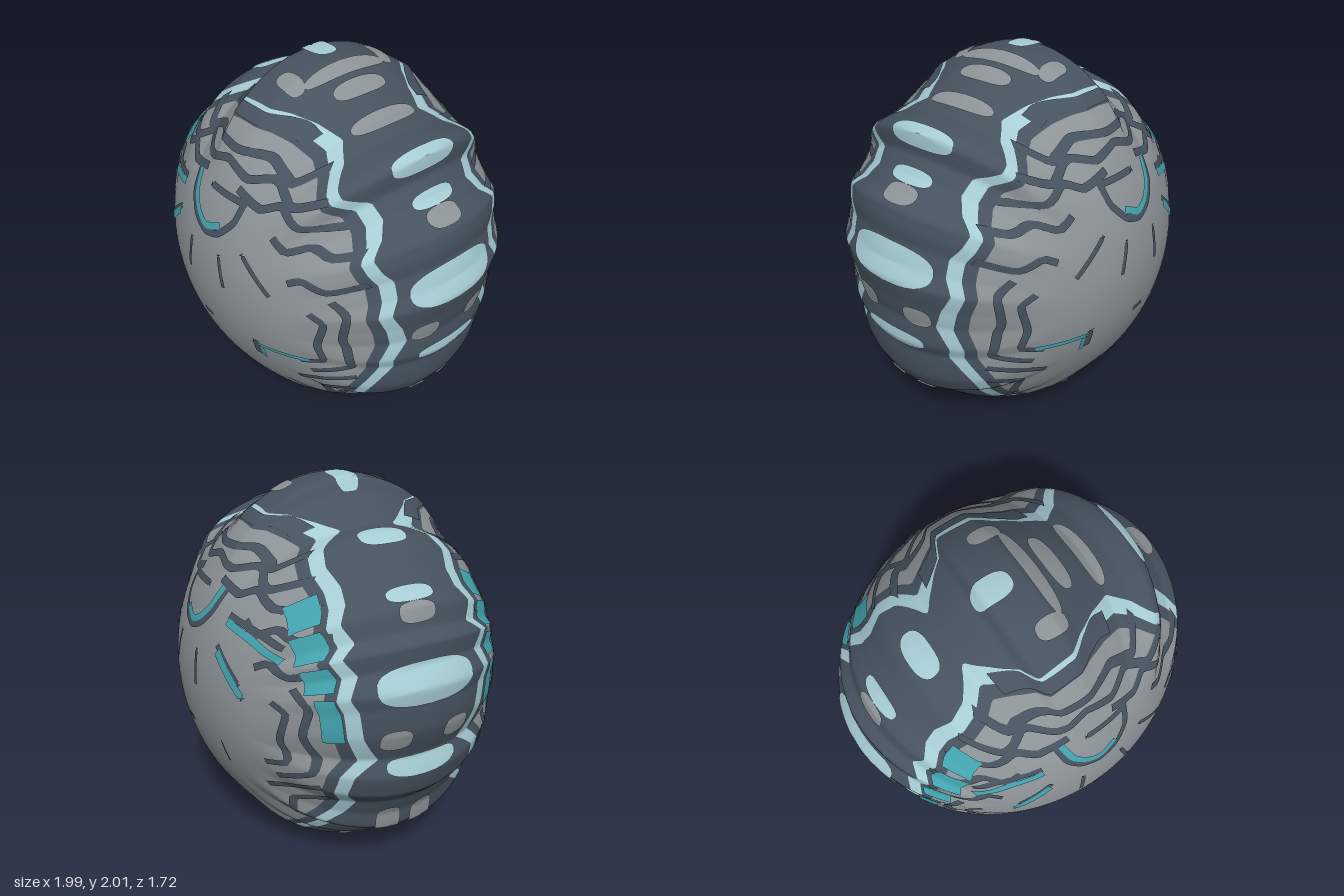
import * as THREE from 'three';
import { mergeVertices } from 'three/addons/utils/BufferGeometryUtils.js';

const CY = 0.96;      // height of the shell centre
const DEPTH = 0.86;   // half depth of the shell
const BASE = 0.985;   // mean radius of the shell
const { lerp, smoothstep, degToRad } = THREE.MathUtils;

const mat = (name, color) => new THREE.MeshStandardMaterial({ name, color, side: THREE.DoubleSide });
const grey = mat('stone grey', 0x8c9397);
const dark = mat('dark slate', 0x46525e);
const pale = mat('pale blue', 0xa6ccd4);
const teal = mat('teal', 0x42a3ae);

// Bumpy silhouette, counter-clockwise from the right
const OUTLINE = [
  [.97, 1], [.99, 1.12], [.95, 1.2], [.92, 1.3], [.92, 1.38], [.9, 1.46], [.82, 1.5], [.75, 1.56], [.69, 1.64],
  [.69, 1.75], [.65, 1.78], [.52, 1.79], [.4, 1.82], [.27, 1.89], [.15, 1.95], [.06, 2], [-.16, 2],
  [-.2, 1.93], [-.3, 1.86], [-.38, 1.8], [-.5, 1.79], [-.6, 1.74], [-.68, 1.65], [-.75, 1.58], [-.83, 1.52],
  [-.86, 1.42], [-.93, 1.38], [-.93, 1.28], [-.99, 1.18], [-.98, 1.1], [-.98, .95], [-.93, .8], [-.96, .7],
  [-.93, .58], [-.85, .5], [-.81, .4], [-.8, .3], [-.66, .25], [-.6, .14], [-.52, .11], [-.48, .05],
  [-.3, .04], [-.14, .04], [-.12, 0], [0, 0], [.12, 0], [.14, .03], [.2, .04], [.4, .04], [.52, .1],
  [.58, .16], [.66, .2], [.73, .27], [.8, .37], [.87, .4], [.92, .5], [.93, .68], [.96, .75], [.95, .88],
];
const TAU = Math.PI * 2;
const wrap = (a) => ((a % TAU) + TAU) % TAU;
const POLAR = OUTLINE.map(([x, y]) => [wrap(Math.atan2(y - CY, x)), Math.hypot(x, y - CY)])
  .sort((a, b) => a[0] - b[0]);

// Piecewise linear lookup in a sorted list of [key, value]
function lookup(list, k) {
  const i = list.findIndex((p) => p[0] >= k);
  if (i < 0) return list[list.length - 1][1];
  if (i === 0) return list[0][1];
  const [a, b] = [list[i - 1], list[i]];
  return lerp(a[1], b[1], (k - a[0]) / (b[0] - a[0] || 1));
}
const last = POLAR[POLAR.length - 1];
const RING = [[last[0] - TAU, last[1]], ...POLAR, [POLAR[0][0] + TAU, POLAR[0][1]]];
const rimRadius = (a) => Math.max(0.925, lookup(RING, wrap(a)));

// Flared neck at the foot: half depth and half width by height
const NECK_Z = [[0, .43], [.1, .46], [.2, .47], [.35, .4], [.45, 0]];
const NECK_X = [[0, .13], [.1, .15], [.2, .2], [.45, .3]];

// Depth of the shell above a point of the middle plane
function height(x, y) {
  const r = Math.hypot(x, y - CY);
  const R = rimRadius(Math.atan2(y - CY, x));
  const q = r / lerp(BASE, R, smoothstep(r / R, 0.5, 0.85));
  const shell = DEPTH * Math.sqrt(Math.max(0, 1 - q * q));
  if (y > 0.45) return shell;
  const w = x / lookup(NECK_X, y);
  const neck = lookup(NECK_Z, y) * Math.sqrt(Math.max(0, 1 - w * w));
  return Math.pow(shell ** 8 + neck ** 8, 1 / 8);
}

// Smooth surface from a rule fn(row, column) -> [x, y, z]
function grid(rows, cols, fn) {
  const pos = [], idx = [];
  for (let i = 0; i <= rows; i++) for (let j = 0; j <= cols; j++) pos.push(...fn(i, j));
  for (let i = 0; i < rows; i++) for (let j = 0; j < cols; j++) {
    const a = i * (cols + 1) + j, b = a + cols + 1;
    idx.push(a, b, a + 1, b, b + 1, a + 1);
  }
  const g = new THREE.BufferGeometry();
  g.setAttribute('position', new THREE.Float32BufferAttribute(pos, 3));
  g.setIndex(idx);
  return g;
}

// Point just above the shell, on the front (side 1) or back (side -1)
function drape(x, y, side, lift = 0.005) {
  const e = 0.01, z = height(x, y);
  const n = new THREE.Vector3((height(x - e, y) - height(x + e, y)) / (2 * e),
    (height(x, y - e) - height(x, y + e)) / (2 * e), 1).normalize().multiplyScalar(lift);
  return [x + n.x, y + n.y, (z + n.z) * side];
}

export function createModel() {
  const model = new THREE.Group();
  const add = (name, geo, material) => {
    geo.computeVertexNormals();
    const m = new THREE.Mesh(geo, material);
    m.name = name;
    model.add(m);
  };

  // Shell: rings from the front pole over the rim to the back pole, coloured by band
  const COLS = 400, half = [];
  for (let i = 0; i <= 24; i++) half.push(() => 0.84 * i / 24);
  for (const r of [0.857, 0.875, 0.892, 0.91]) half.push(() => r);
  for (let i = 1; i <= 12; i++) half.push((R) => lerp(0.91, R, Math.sin(i / 12 * Math.PI / 2)));
  const n = half.length - 1, rows = 2 * n + 1;
  const shellPoint = (i, j) => {
    const a = (j % COLS) / COLS * TAU, back = i > n;
    const r = half[back ? rows - i : i](rimRadius(a));
    const x = r * Math.cos(a), y = CY + r * Math.sin(a);
    const onRim = i === n || i === n + 1;
    let z = height(x, y);
    if (onRim && z < 0.02) z = 0;
    return [x, Math.max(0, y), back ? -z : z];
  };
  let shell = grid(rows, COLS, shellPoint);
  const per = COLS * 6;
  let at = 0;
  // band sizes in rows; the empty step at the rim is left to the neck cap
  for (const [count, m] of [[24, 0], [2, 1], [2, 2], [12, 1], [1, -1], [12, 1], [2, 2], [2, 1], [24, 0]]) {
    if (m >= 0) shell.addGroup(at * per, count * per, m);
    at += count;
  }
  const kept = shell.getIndex().array;
  for (let k = n * per; k < (n + 1) * per; k++) kept[k] = 0;
  shell = mergeVertices(shell, 1e-5);
  add('shell', shell, [grey, dark, pale]);
  add('neckCap', grid(1, COLS, (i, j) => shellPoint(n + i, j)), grey);

  // Painted strokes, repeated on front and back
  function stroke(name, material, width, pts, mirror = false) {
    const curve = new THREE.CatmullRomCurve3(pts.map(([x, y]) => new THREE.Vector3(x, y, 0)), false, 'catmullrom', 0.3);
    const steps = Math.max(6, Math.ceil(curve.getLength() / 0.02));
    for (const sx of mirror ? [1, -1] : [1]) for (const side of [1, -1]) {
      add(name, grid(steps, 4, (i, j) => {
        const p = curve.getPointAt(i / steps), t = curve.getTangentAt(i / steps);
        const w = (j / 4 - 0.5) * width;
        return drape(sx * (p.x - t.y * w), p.y + t.x * w, side, material === teal ? 0.007 : 0.005);
      }), material);
    }
  }
  // Bowl mark and rays
  stroke('bowlBar', dark, .03, [[-.05, 1.515], [.2, 1.515]]);
  stroke('bowl', dark, .035, [[-.2, 1.53], [-.17, 1.42], [-.1, 1.34], [0, 1.3], [.1, 1.33], [.18, 1.42], [.2, 1.53]]);
  stroke('bowlGlow', teal, .035, [[-.175, 1.53], [-.14, 1.43], [-.08, 1.365], [0, 1.33], [.1, 1.37]]);
  stroke('ray', dark, .03, [[-.62, 1.35], [-.45, 1.4], [-.3, 1.43]]);
  stroke('rayGlow', teal, .035, [[-.63, 1.29], [-.45, 1.36], [-.3, 1.4]]);
  stroke('ray', dark, .03, [[-.46, 1.13], [-.28, 1.28]]);
  stroke('rayGlow', teal, .04, [[-.49, 1.07], [-.29, 1.25]]);
  stroke('ray', dark, .025, [[-.11, 1.21], [-.125, 1.02]]);
  stroke('ray', dark, .025, [[.13, 1.23], [.18, 1.06]]);
  stroke('ray', dark, .025, [[.27, 1.3], [.45, 1.14]]);
  // Small marks
  stroke('dot', dark, .03, [[-.04, .775], [.04, .775]]);
  stroke('scratch', dark, .012, [[-.31, .77], [-.33, .65]]);
  stroke('lowerLine', dark, .025, [[-.24, .3], [-.21, .38], [-.1, .4], [0, .38], [.19, .4]]);
  stroke('hook', dark, .045, [[.36, .8], [.36, .69]]);
  stroke('hookGlow', teal, .025, [[.37, .775], [.62, .775]]);
  stroke('hookGlow', teal, .02, [[.39, .77], [.39, .68]]);
  // Waves over the brow
  const brow = [[-.45, 1.72], [-.35, 1.64], [-.2, 1.71], [0, 1.7], [.2, 1.71], [.35, 1.64], [.45, 1.72]];
  stroke('browWave', dark, .035, brow);
  stroke('browWave', dark, .035, [[-.56, 1.63], [-.42, 1.57], [-.28, 1.64], [-.15, 1.61], [0, 1.65],
    [.15, 1.61], [.28, 1.64], [.42, 1.57], [.56, 1.63]]);
  stroke('browTop', dark, .05, [[-.3, 1.78], [-.2, 1.82], [0, 1.83], [.2, 1.82], [.3, 1.78]]);
  stroke('sideWave', dark, .035, [[.13, 1.56], [.28, 1.52], [.38, 1.56], [.5, 1.5], [.65, 1.52]], true);
  stroke('sideWave', dark, .035, [[.28, 1.54], [.4, 1.43], [.47, 1.38], [.56, 1.42], [.65, 1.39], [.75, 1.42]].slice(1), true);
  stroke('sideWave', dark, .035, [[.52, 1.24], [.58, 1.27], [.68, 1.23], [.8, 1.28]], true);
  // Stepped lines beside the rim
  stroke('steppedLine', dark, .03, [[.7, 1.18], [.77, 1.1], [.75, .95], [.77, .75], [.62, .69]], true);
  stroke('steppedLine', dark, .03, [[.63, 1.1], [.69, 1.05], [.66, .9], [.68, .79], [.58, .76]], true);
  stroke('steppedLine', dark, .03, [[.54, .6], [.64, .63], [.78, .66]], true);
  stroke('lowerPanel', dark, .03, [[.58, .37], [.61, .42], [.63, .54], [.77, .57]], true);
  // Teal tiles along one side of the rim
  for (const [a0, a1, r, w] of [[134, 144, .81, .1], [146, 155, .81, .1], [157, 165, .82, .09], [167, 182, .84, .06]]) {
    const arc = [0, 1, 2, 3].map((i) => degToRad(lerp(a0, a1, i / 3)));
    stroke('tealTile', teal, w, arc.map((a) => [r * Math.cos(a), CY + r * Math.sin(a)]));
  }

  // Rounded patches on the rim: angle, half angle, depth position, half depth
  function patch(name, material, deg, halfDeg, z0, halfZ) {
    for (const s of z0 ? [1, -1] : [1]) add(name, grid(6, 28, (i, j) => {
      const t = (j % 28) / 28 * TAU, k = i / 6;
      const sq = (v) => Math.sign(v) * Math.abs(v) ** 0.75;
      const a = degToRad(deg + halfDeg * k * sq(Math.cos(t)));
      const z = s * z0 + halfZ * k * sq(Math.sin(t));
      const r = rimRadius(a) * Math.sqrt(1 - (z / DEPTH) ** 2) + 0.008;
      return [r * Math.cos(a), CY + r * Math.sin(a), z];
    }), material);
  }
  const sides = [
    [pale, 14, 6, 0, .27], [grey, 33, 3, 0, .1], [pale, 38.5, 2.5, 0, .13], [grey, -2, 3.5, .17, .08],
    [pale, -12, 3, 0, .2], [grey, -37, 5, .1, .07], [grey, -60, 5, .13, .08],
  ];
  for (const [m, a, ...rest] of sides) {
    patch('rimPatch', m, a, ...rest);
    patch('rimPatch', m, 180 - a, ...rest);
  }
  patch('topPatch', pale, 49, 3, 0, .2);
  patch('topPatch', grey, 65, 3, 0, .2);
  patch('topPatch', grey, 77, 3, 0, .16);
  patch('topPatch', grey, 84, 2.2, 0, .25);
  patch('topPatch', grey, 88, 5, .28, .05);
  patch('topPatch', pale, 96, 6, 0, .07);
  patch('topPatch', pale, 122, 4, 0, .13);
  return model;
}
